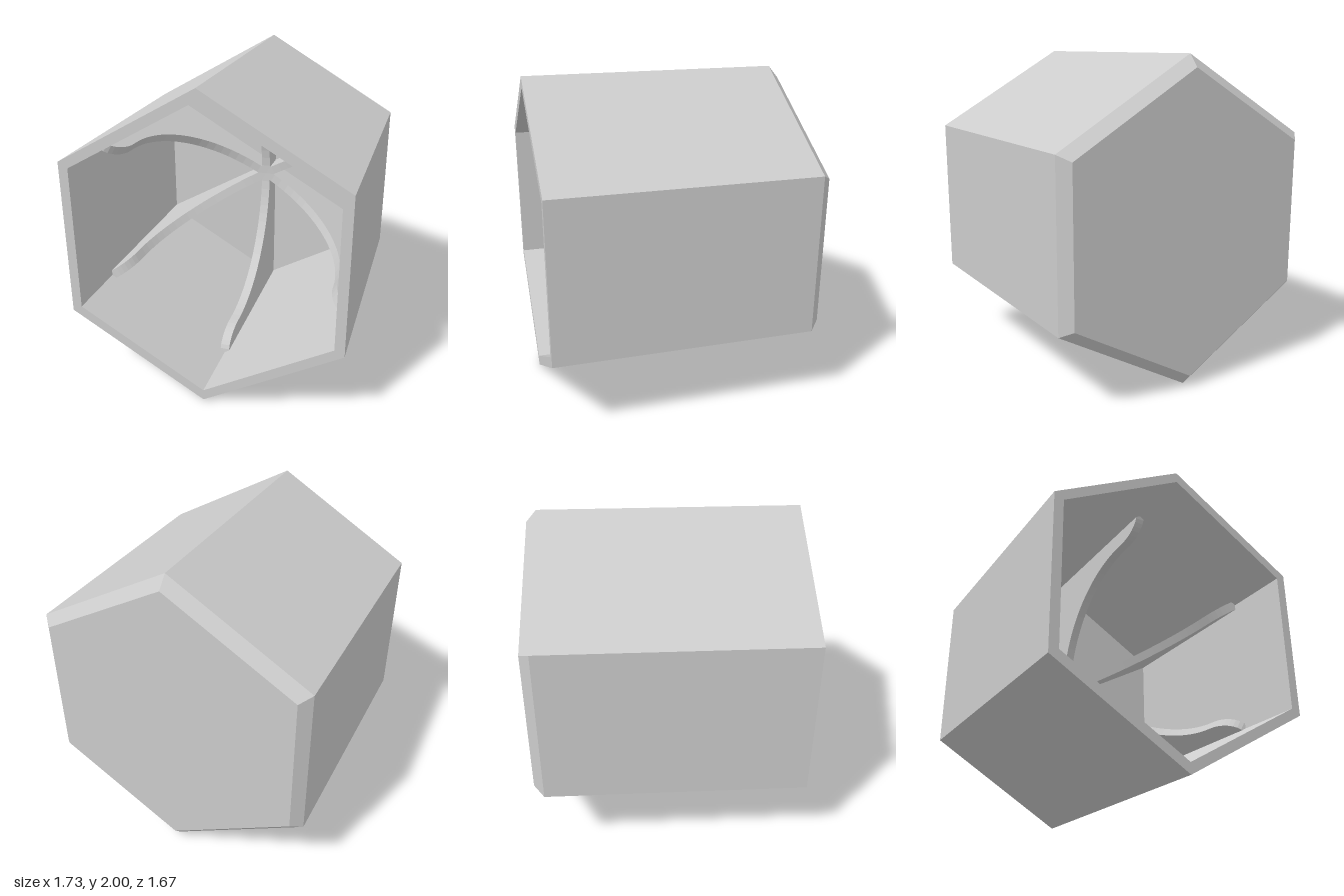
import * as THREE from 'three';

export function createModel() {
  const model = new THREE.Group();
  const material = new THREE.MeshStandardMaterial({ color: 0xcccccc, flatShading: true });

  // Hexagonal cup, open at the front, with a chamfered back
  const profile = [
    [0, -0.835], [0.925, -0.835], [1, -0.77], [1, 0.835],
    [0.93, 0.835], [0.93, -0.77], [0, -0.77],
  ].map(([r, z]) => new THREE.Vector2(r, z));
  const shell = new THREE.Mesh(new THREE.LatheGeometry(profile, 6).rotateX(Math.PI / 2), material);
  shell.name = 'hexagonalShell';
  model.add(shell);

  // Rib outline in (radius, depth): round seat, then a rounded lip at the wall
  const seatRadius = 0.8, seatZ = 0.2, wall = 0.93;
  const outline = new THREE.Shape();
  outline.moveTo(0, -0.78);
  outline.lineTo(0.95, -0.78);
  outline.lineTo(0.95, 0.41);
  const lipSteps = 8;
  for (let i = 0; i <= lipSteps; i++) {
    const t = (1 - i / lipSteps) * Math.PI / 2;
    outline.lineTo(wall - (wall - seatRadius) * Math.cos(t), seatZ + 0.21 * Math.sin(t));
  }
  const seatSteps = 20;
  for (let i = 1; i <= seatSteps; i++) {
    const t = (i / seatSteps) * Math.PI / 2;
    outline.lineTo(seatRadius * Math.cos(t), seatZ - seatRadius * Math.sin(t));
  }
  const ribGeometry = new THREE.ExtrudeGeometry(outline, { depth: 0.06, bevelEnabled: false })
    .translate(0, 0, -0.03)
    .rotateX(Math.PI / 2);

  // Six ribs running from the centre to the corners
  const ribs = new THREE.Group();
  ribs.name = 'supportRibs';
  for (let i = 0; i < 6; i++) {
    const rib = new THREE.Mesh(ribGeometry, material);
    rib.name = 'supportRib';
    rib.rotation.z = Math.PI / 6 + i * Math.PI / 3;
    ribs.add(rib);
  }
  model.add(ribs);

  model.position.y = 1;
  const root = new THREE.Group();
  root.name = 'ribbedHexagonalHolder';
  root.add(model);
  return root;
}
